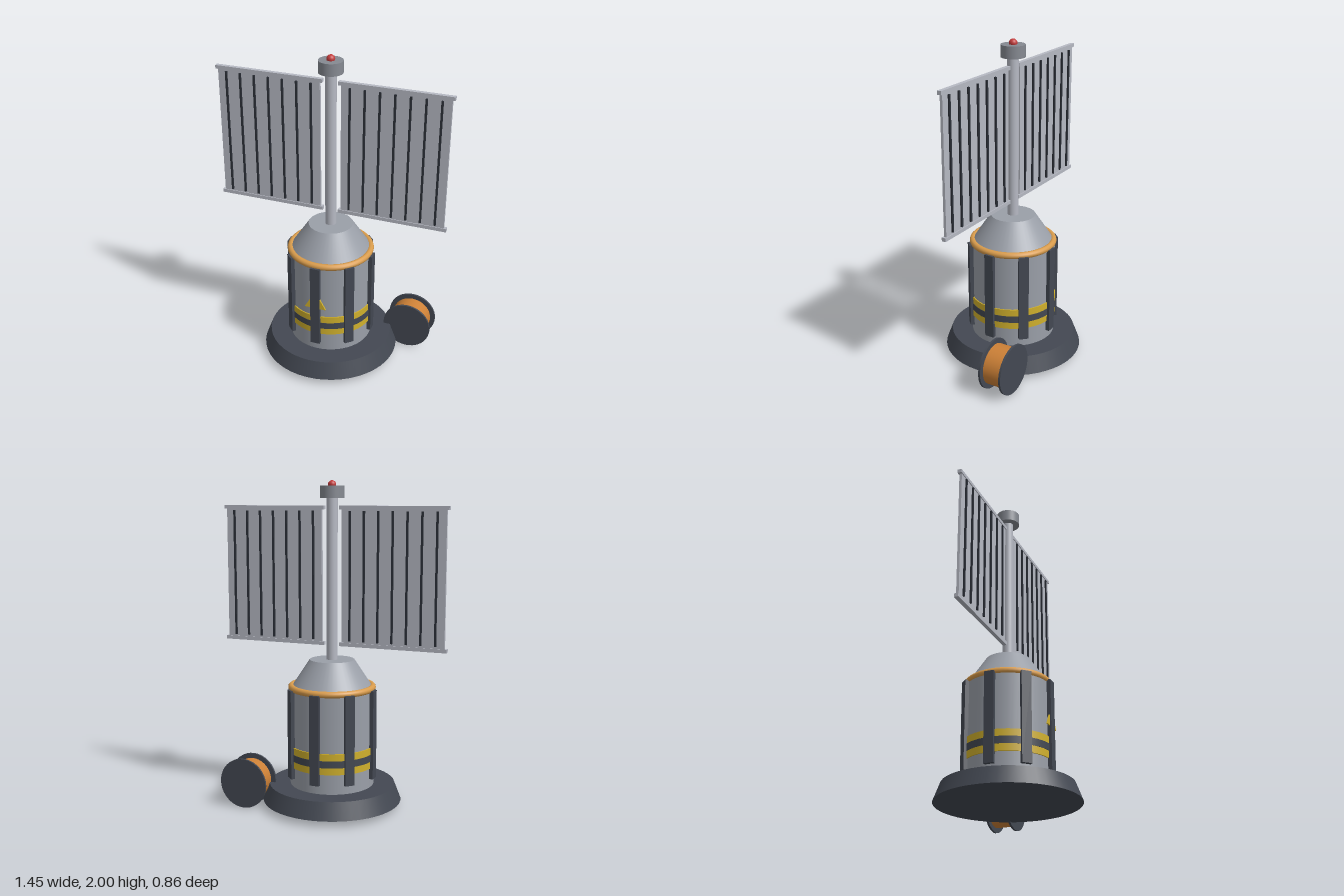
import * as THREE from 'three';

const mat = (name, color) => {
  const m = new THREE.MeshStandardMaterial({ color });
  m.name = name;
  return m;
};

export function createModel() {
  const steel = mat('steel', 0x9a9fa8);
  const paleMetal = mat('paleMetal', 0xb6b9c3);
  const capGrey = mat('capGrey', 0x868a92);
  const charcoal = mat('charcoal', 0x434852);
  const black = mat('black', 0x2c3038);
  const yellow = mat('yellow', 0xd0b02c);
  const brass = mat('brass', 0xd99c4c);
  const copper = mat('copper', 0xcc8036);
  const red = mat('red', 0xc23c3c);

  const model = new THREE.Group();
  model.name = 'beaconTower';
  const add = (name, geo, material, x = 0, y = 0, z = 0, parent = model) => {
    const m = new THREE.Mesh(geo, material);
    m.name = name;
    m.position.set(x, y, z);
    parent.add(m);
    return m;
  };
  // Upright cylinder or cone between two heights
  const drum = (name, rTop, rBottom, y0, y1, material) =>
    add(name, new THREE.CylinderGeometry(rTop, rBottom, y1 - y0, 48), material, 0, (y0 + y1) / 2);

  // Base, body, shoulder and mast
  drum('base', 0.39, 0.43, 0.035, 0.14, charcoal);
  drum('body', 0.26, 0.26, 0.14, 0.75, steel);
  drum('shoulder', 0.137, 0.25, 0.75, 0.92, steel);
  drum('mast', 0.034, 0.034, 0.91, 1.9, paleMetal);
  drum('mastCap', 0.073, 0.073, 1.895, 1.968, capGrey);
  add('beacon', new THREE.SphereGeometry(0.025, 24, 16), red, 0, 1.975);
  add('collar', new THREE.TorusGeometry(0.25, 0.02, 12, 64), brass, 0, 0.75).rotation.x = Math.PI / 2;

  // Warning bands round the body
  drum('lowerBand', 0.267, 0.267, 0.263, 0.306, yellow);
  drum('middleBand', 0.269, 0.269, 0.306, 0.349, charcoal);
  drum('upperBand', 0.267, 0.267, 0.349, 0.392, yellow);

  // Eight upright ribs
  for (let i = 0; i < 8; i++) {
    const a = (i * Math.PI) / 4;
    add('rib', new THREE.BoxGeometry(0.06, 0.55, 0.04), charcoal,
      Math.sin(a) * 0.262, 0.47, Math.cos(a) * 0.262).rotation.y = a;
  }

  // Warning triangle behind the front rib
  const tri = new THREE.Shape();
  tri.moveTo(-0.069, 0).lineTo(0.069, 0).lineTo(0, 0.12).closePath();
  add('warningTriangle', new THREE.ExtrudeGeometry(tri, { depth: 0.009, bevelEnabled: false }),
    yellow, 0, 0.457, 0.266);

  // Two slatted panels with rails
  for (const side of [-1, 1]) {
    const panel = new THREE.Group();
    panel.name = side > 0 ? 'leftPanel' : 'rightPanel';
    panel.position.x = side * 0.387;
    model.add(panel);
    add('sheet', new THREE.BoxGeometry(0.645, 0.82, 0.016), paleMetal, 0, 1.428, 0, panel);
    for (const y of [1.017, 1.84])
      add('rail', new THREE.BoxGeometry(0.675, 0.022, 0.026), paleMetal, 0, y, 0, panel);
    for (let i = -3; i <= 3; i++)
      add('slat', new THREE.BoxGeometry(0.012, 0.78, 0.036), black, i * 0.0893, 1.43, 0, panel);
  }

  // Cable spool lying beside the base
  const spool = new THREE.Group();
  spool.name = 'cableSpool';
  spool.position.set(0.473, 0.155, -0.222);
  spool.rotation.x = Math.PI / 2;
  model.add(spool);
  add('cable', new THREE.CylinderGeometry(0.125, 0.125, 0.136, 40), copper, 0, 0, 0, spool);
  for (const s of [-1, 1])
    add('flange', new THREE.CylinderGeometry(0.155, 0.155, 0.013, 40), charcoal, 0, s * 0.069, 0, spool);

  return model;
}
